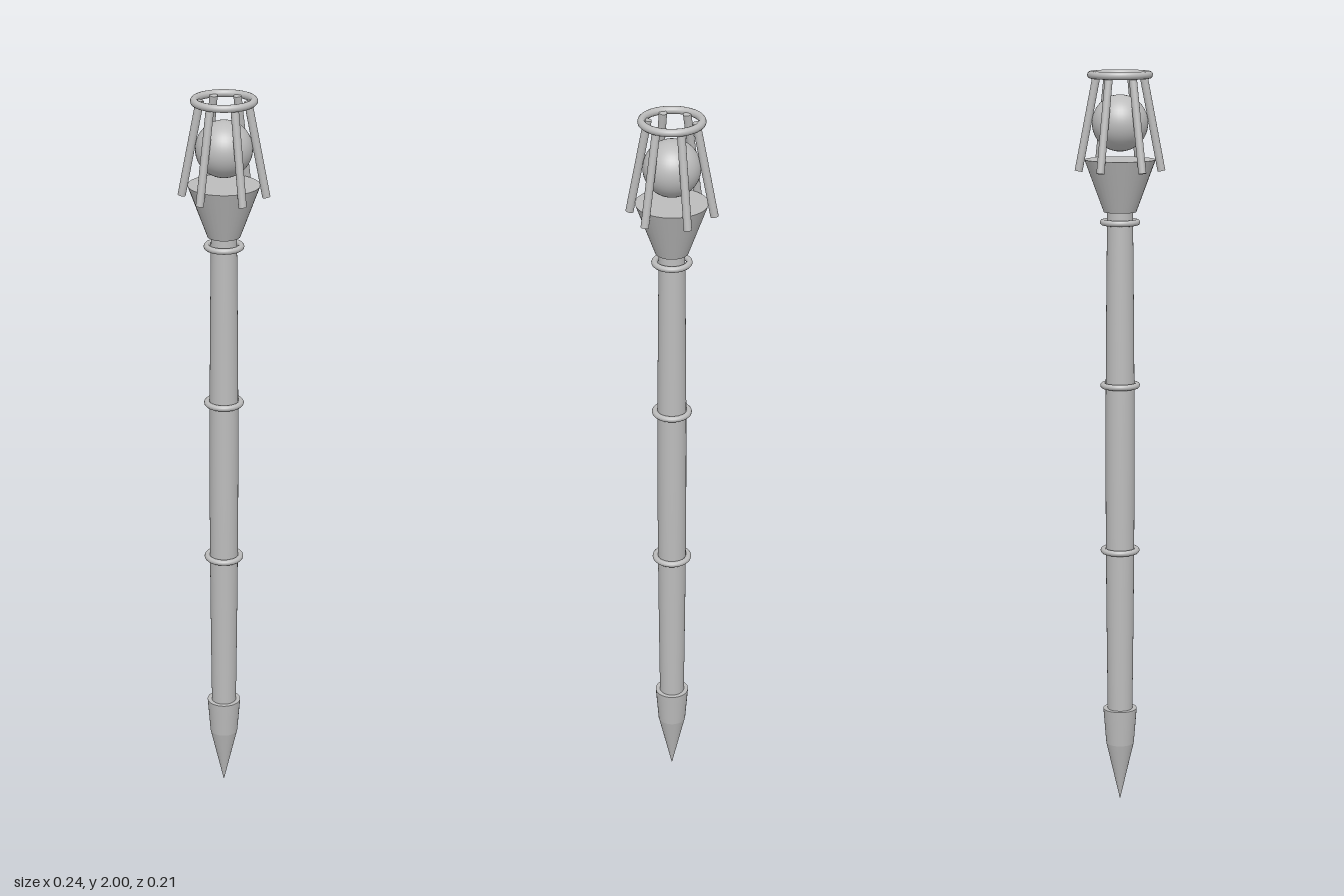
import * as THREE from 'three';

export function createModel() {
  const model = new THREE.Group();
  const metal = new THREE.MeshStandardMaterial({ color: 0xbcbcbc });
  metal.name = 'grey metal';

  const add = (name, geometry, y = 0, parent = model) => {
    const mesh = new THREE.Mesh(geometry, metal);
    mesh.name = name;
    mesh.position.y = y;
    parent.add(mesh);
    return mesh;
  };
  const ring = (name, radius, tube, y) =>
    add(name, new THREE.TorusGeometry(radius, tube, 12, 48).rotateX(Math.PI / 2), y);
  // straight-sided round part spanning two heights
  const taper = (name, rBottom, rTop, y0, y1) =>
    add(name, new THREE.CylinderGeometry(rTop, rBottom, y1 - y0, 32), (y0 + y1) / 2);

  // pointed foot and its flared socket
  taper('spike', 0, 0.038, 0, 0.165);
  taper('socket', 0.038, 0.046, 0.165, 0.265);

  // shaft, swelling slightly at the middle
  const profile = [];
  for (let i = 0; i <= 12; i++) {
    const t = i / 12;
    profile.push(new THREE.Vector2(0.034 + 0.005 * Math.sin(Math.PI * t), 0.26 + 1.375 * t));
  }
  add('shaft', new THREE.LatheGeometry(profile, 32));
  for (const y of [0.713, 1.168, 1.605]) ring('shaftRing', 0.045, 0.008, y);

  // cup and floating orb
  taper('cup', 0.043, 0.094, 1.632, 1.77);
  add('orb', new THREE.SphereGeometry(0.074, 40, 24), 1.865);

  // cage of six leaning bars under a top ring
  const cage = new THREE.Group();
  cage.name = 'cage';
  model.add(cage);
  const up = new THREE.Vector3(0, 1, 0);
  for (let i = 0; i < 6; i++) {
    const a = (i * Math.PI) / 3;
    const low = new THREE.Vector3(0.109 * Math.cos(a), 1.74, 0.109 * Math.sin(a));
    const high = new THREE.Vector3(0.061 * Math.cos(a), 1.99, 0.061 * Math.sin(a));
    const bar = add('cageBar', new THREE.CylinderGeometry(0.0105, 0.0105, low.distanceTo(high), 16), 0, cage);
    bar.position.copy(low).lerp(high, 0.5);
    bar.quaternion.setFromUnitVectors(up, high.sub(low).normalize());
  }
  ring('cageRing', 0.076, 0.01, 1.99);

  return model;
}
